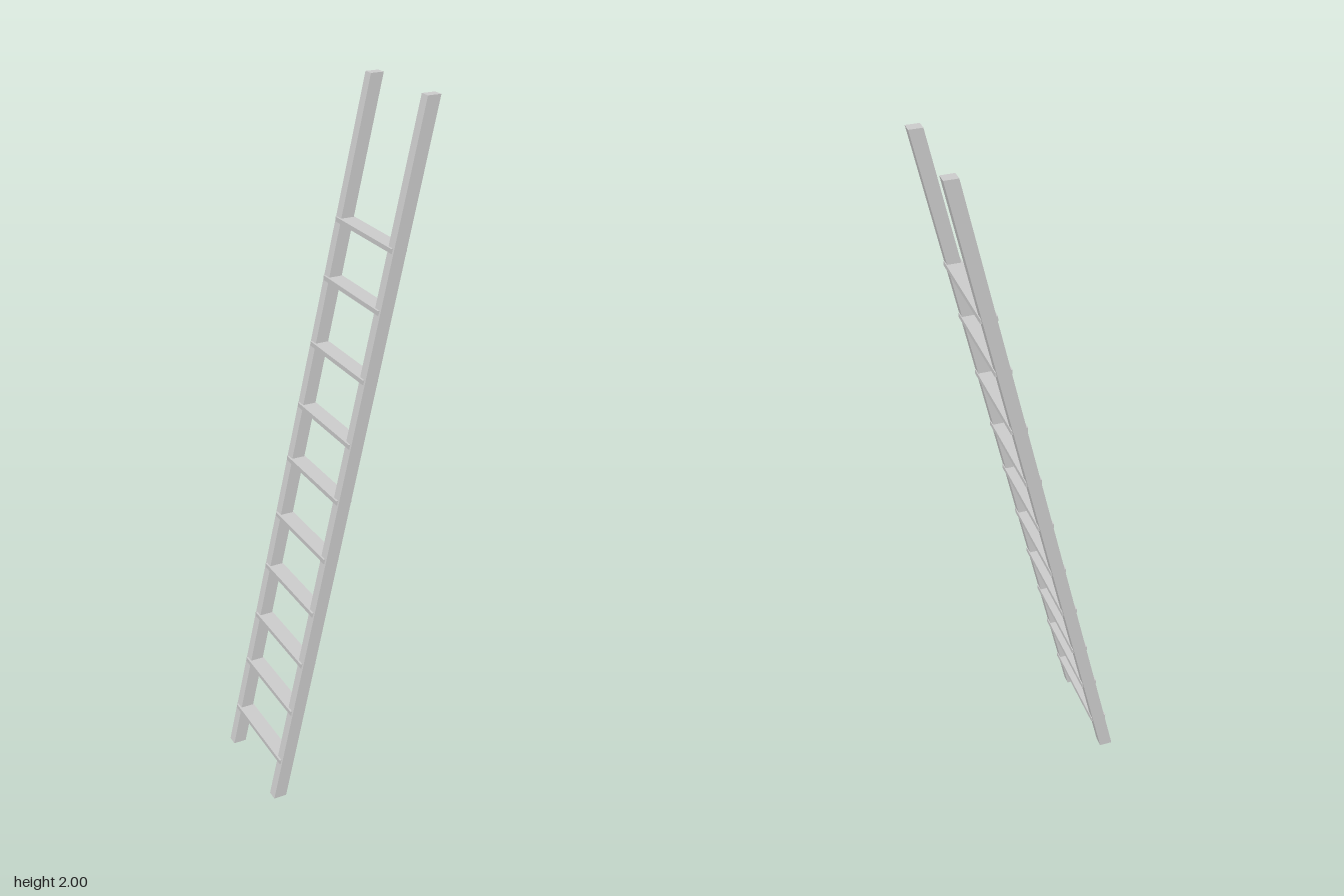
import * as THREE from 'three';

export function createModel() {
  const model = new THREE.Group();
  model.name = 'ladder';
  const material = new THREE.MeshStandardMaterial({ color: 0xcccccc, flatShading: true });

  // Leaning side rails, cut level at both ends
  const outline = new THREE.Shape([
    new THREE.Vector2(-0.242, 0),
    new THREE.Vector2(-0.204, 0),
    new THREE.Vector2(0.242, 2),
    new THREE.Vector2(0.204, 2),
  ]);
  const railDepth = 0.03;
  const railGeometry = new THREE.ExtrudeGeometry(outline, { depth: railDepth, bevelEnabled: false });
  railGeometry.translate(0, 0, -railDepth / 2);
  for (const [name, z] of [['frontRail', 0.145], ['backRail', -0.145]]) {
    const rail = new THREE.Mesh(railGeometry, material);
    rail.name = name;
    rail.position.z = z;
    model.add(rail);
  }

  // Flat level rungs, unevenly spaced, let into the rails and just proud of them
  const slope = 0.223;
  const rungHeights = [0.119, 0.28, 0.432, 0.592, 0.755, 0.928, 1.089, 1.268, 1.454, 1.615];
  const rungGeometry = new THREE.BoxGeometry(0.046, 0.013, 0.306);
  rungHeights.forEach((y, i) => {
    const rung = new THREE.Mesh(rungGeometry, material);
    rung.name = `rung${i + 1}`;
    rung.position.set((y - 1) * slope, y, 0);
    model.add(rung);
  });

  return model;
}
